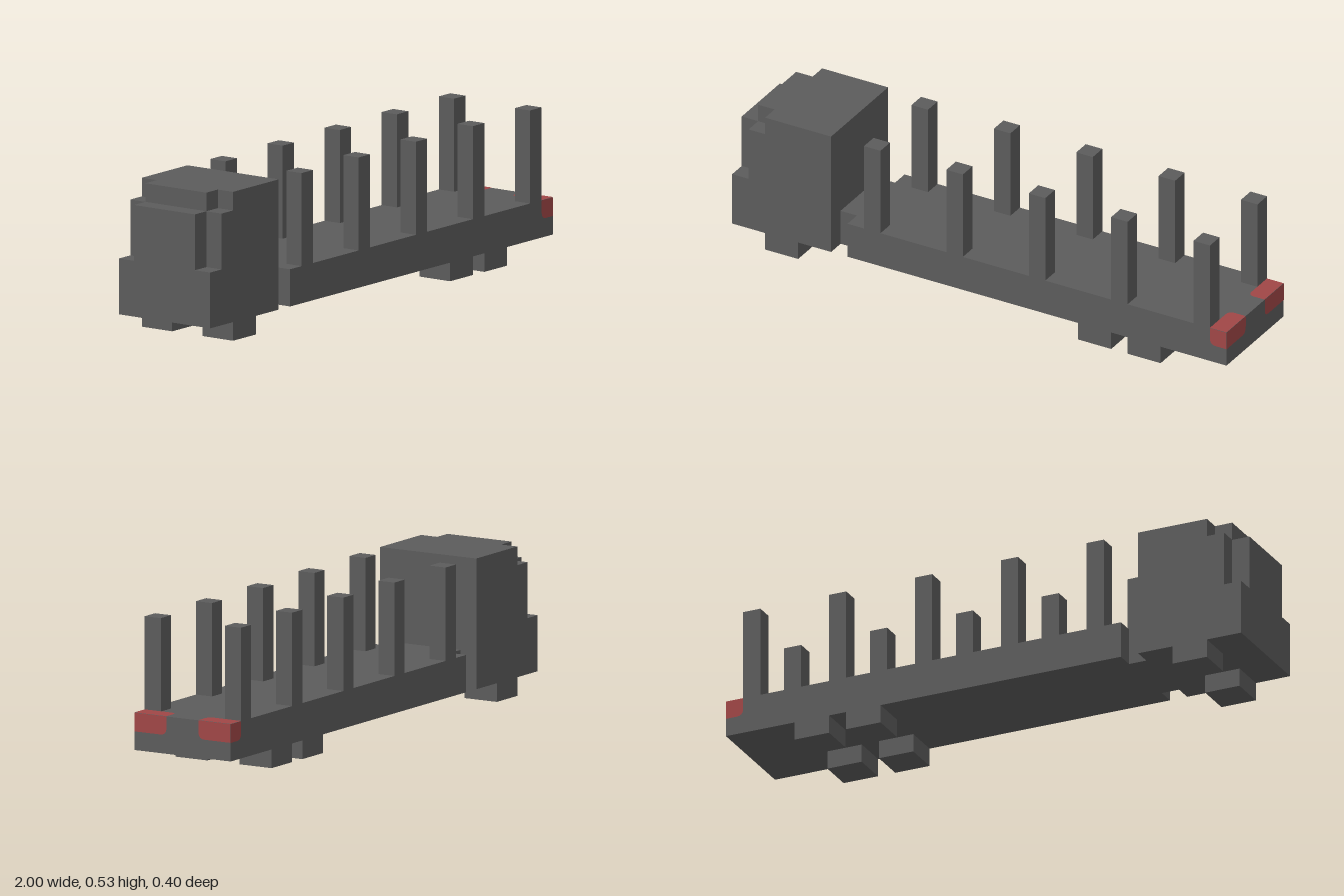
import * as THREE from 'three';

const U = 1 / 15; // the model sits on a grid of 30 x 8 x 6 cells

export function createModel() {
  const model = new THREE.Group();
  model.name = 'logTruck';
  const grey = new THREE.MeshStandardMaterial({ color: 0x5c5c5c });
  grey.name = 'dark grey';
  const red = new THREE.MeshStandardMaterial({ color: 0xa04646 });
  red.name = 'tail light red';

  const add = (parent, name, geometry, material = grey) => {
    const mesh = new THREE.Mesh(geometry, material);
    mesh.name = name;
    parent.add(mesh);
    return mesh;
  };
  const group = (name) => {
    const g = new THREE.Group();
    g.name = name;
    model.add(g);
    return g;
  };
  // Box between two corners in grid cells
  const box = (parent, name, [x0, y0, z0], [x1, y1, z1]) => {
    const g = new THREE.BoxGeometry((x1 - x0) * U, (y1 - y0) * U, (z1 - z0) * U);
    g.translate((x0 + x1) / 2 * U, (y0 + y1) / 2 * U, (z0 + z1) / 2 * U);
    return add(parent, name, g);
  };
  // Outline in grid cells, extruded by a depth in cells
  const slab = (points, depth) => new THREE.ExtrudeGeometry(
    new THREE.Shape(points.map(([x, y]) => new THREE.Vector2(x * U, y * U))),
    { depth: depth * U, bevelEnabled: false });

  // Cab: stepped core, with side walls cut back at the front corners
  const cab = group('cab');
  add(cab, 'cabCore', slab(
    [[-15, 1], [-9, 1], [-9, 8], [-14, 8], [-14, 7], [-15, 7]], 4).translate(0, 0, -2 * U));
  const wall = [[-15, 1], [-9, 1], [-9, 8], [-13, 8], [-13, 7], [-14, 7], [-14, 4], [-15, 4]];
  add(cab, 'cabLeftWall', slab(wall, 1).translate(0, 0, 2 * U));
  add(cab, 'cabRightWall', slab(wall, 1).translate(0, 0, -3 * U));

  // Flat deck with a narrow tongue joining the cab
  const deck = slab([[-9, -2], [-8, -2], [-8, -3], [15, -3], [15, 3], [-8, 3], [-8, 2], [-9, 2]], 2);
  add(model, 'deck', deck.rotateX(-Math.PI / 2).translate(0, U, 0));

  // Stakes and wheels in mirrored pairs
  const stakes = group('stakes');
  const wheels = group('wheels');
  for (const s of [1, -1]) {
    const span = (a, b) => (s > 0 ? [a, b] : [-b, -a]);
    const [p0, p1] = span(2, 3);
    for (const x of [-7, -2, 3, 8, 13]) box(stakes, 'stake', [x, 3, p0], [x + 1, 8, p1]);
    const [w0, w1] = span(1, 3);
    for (const x of [-13, 6, 9]) box(wheels, 'wheel', [x, 0, w0], [x + 2, 1, w1]);
  }

  // Painted tail lights: plates spreading from the corner, one rounded corner each
  const plate = (w, h) => {
    const r = 0.025;
    const shape = new THREE.Shape();
    shape.moveTo(0, 0);
    shape.lineTo(w, 0);
    shape.lineTo(w, h - Math.sign(h) * r);
    shape.quadraticCurveTo(w, h, w - Math.sign(w) * r, h);
    shape.lineTo(0, h);
    return new THREE.ShapeGeometry(shape, 6);
  };
  const lights = group('tailLights');
  const off = 0.001;
  for (const s of [1, -1]) {
    add(lights, 'tailLightRear', plate(s * 2 * U, -U)
      .rotateY(Math.PI / 2).translate(1 + off, 3 * U, s * 3 * U), red);
    add(lights, 'tailLightTop', plate(-U, s * 2 * U)
      .rotateX(-Math.PI / 2).translate(1, 3 * U + off, s * 3 * U), red);
    add(lights, 'tailLightSide', plate(-s * U, -U)
      .rotateY(s > 0 ? 0 : Math.PI).translate(1, 3 * U, s * (3 * U + off)), red);
  }

  return model;
}
